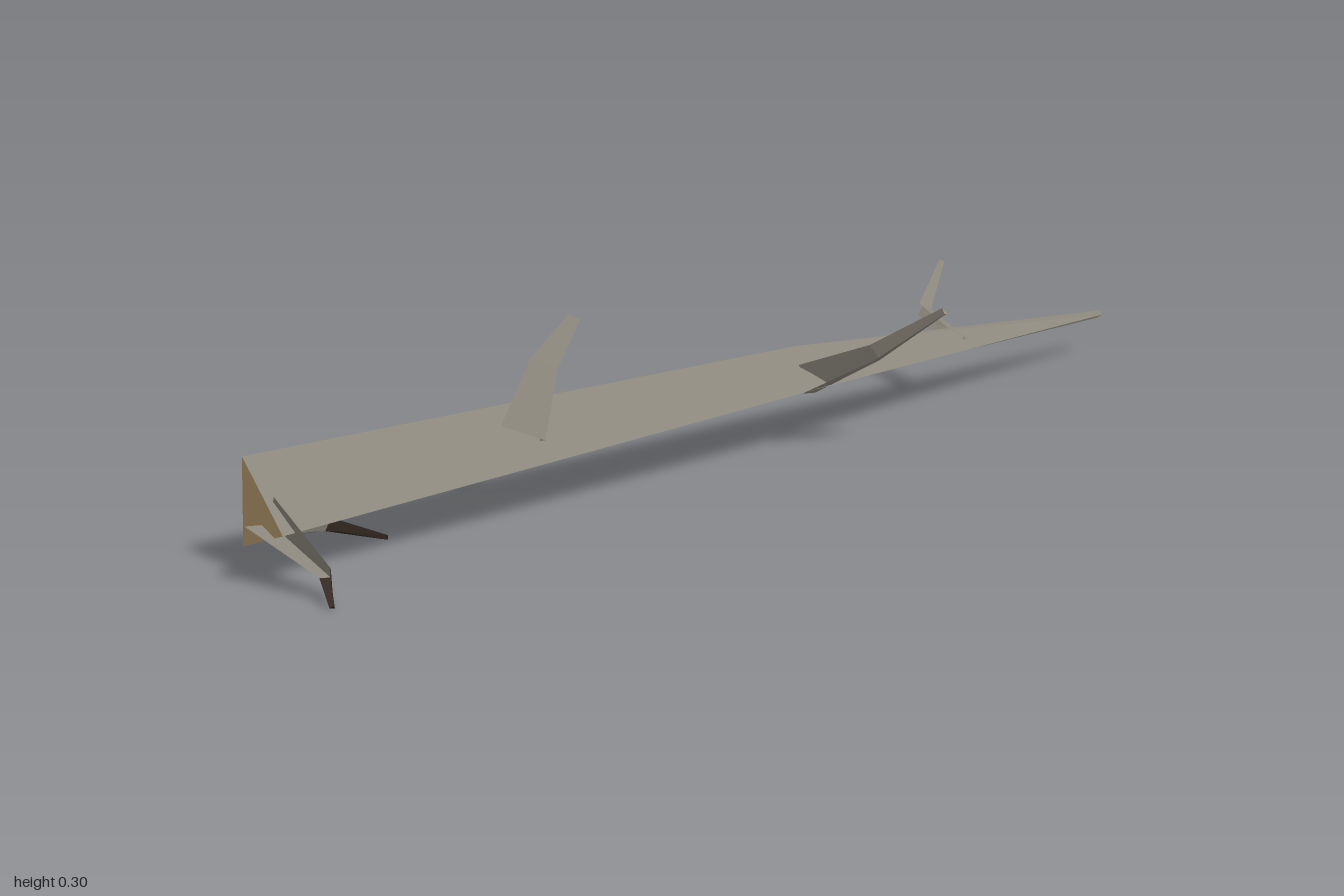
import * as THREE from 'three';

function material(name, color) {
  const m = new THREE.MeshStandardMaterial({ color, side: THREE.DoubleSide });
  m.name = name;
  return m;
}
const bark = material('bark', 0x8b867b);
const cutWood = material('cutWood', 0xb5986c);
const darkBark = material('darkBark', 0x352a23);

// Skins triangular rings on two sides, leaving the side from corner 0 to 1 open.
// Groups: bark along the length, the last segment, the cut ends.
function loft(name, rings, cutStart, tipBark, tipEnd) {
  const points = [];
  const geometry = new THREE.BufferGeometry();
  const addGroup = (index, corners) => {
    geometry.addGroup(points.length, corners.length, index);
    points.push(...corners);
  };
  for (let r = 0; r < rings.length - 1; r++) {
    const a = rings[r], b = rings[r + 1];
    const quads = [[1, 2], [2, 0]].flatMap(([i, j]) => [a[i], a[j], b[j], a[i], b[j], b[i]]);
    addGroup(r === rings.length - 2 ? 1 : 0, quads);
  }
  const first = rings[0];
  if (cutStart) addGroup(2, [first[0], first[2], first[1]]);
  addGroup(2, rings[rings.length - 1]);
  geometry.setFromPoints(points);
  geometry.computeVertexNormals();
  const mesh = new THREE.Mesh(geometry, [bark, tipBark, tipEnd]);
  mesh.name = name;
  return mesh;
}

// Bent branch: axis points, a radius at each, and the angle of its first corner in degrees.
function branch(name, path, radii, roll, tipBark = bark, tipEnd = cutWood) {
  const pts = path.map((p) => new THREE.Vector3(...p));
  const rings = pts.map((p, k) => {
    const prev = pts[Math.max(k - 1, 0)], next = pts[Math.min(k + 1, pts.length - 1)];
    const dir = next.clone().sub(prev).normalize();
    const side = new THREE.Vector3(0, 1, 0).cross(dir).normalize();
    const up = dir.clone().cross(side);
    return [0, 1, 2].map((i) => {
      const t = THREE.MathUtils.degToRad(roll + i * 120);
      return p.clone()
        .addScaledVector(side, Math.cos(t) * radii[k])
        .addScaledVector(up, Math.sin(t) * radii[k]);
    });
  });
  return loft(name, rings, false, tipBark, tipEnd);
}

export function createModel() {
  const group = new THREE.Group();
  group.name = 'fallenLog';

  // Trunk: x, then (y, z) of the front, bottom and top ridges
  const trunkRings = [
    [-0.965, [0.086, 0.072], [0.035, -0.055], [0.185, -0.043]],
    [0.15, [0.11, 0.045], [0.08, -0.04], [0.17, -0.034]],
    [0.998, [0.084, -0.062], [0.075, -0.075], [0.092, -0.067]],
  ].map(([x, ...c]) => c.map(([y, z]) => new THREE.Vector3(x, y, z)));
  group.add(loft('trunk', trunkRings, true, bark, cutWood));

  // Branches
  group.add(
    branch('upperBranch',
      [[-0.475, 0.13, 0.002], [-0.4, 0.23, -0.036], [-0.325, 0.297, -0.05]],
      [0.044, 0.028, 0.013], -60),
    branch('frontBranch',
      [[0.13, 0.115, 0.02], [0.2, 0.178, 0.125], [0.28, 0.262, 0.217]],
      [0.036, 0.02, 0.008], 75),
    branch('backBranch',
      [[0.55, 0.115, -0.03], [0.592, 0.142, -0.162], [0.697, 0.211, -0.221]],
      [0.026, 0.016, 0.006], -60),
    branch('baseRoot',
      [[-0.967, 0.105, 0.018], [-0.937, 0.04, 0.15], [-0.957, 0.006, 0.197]],
      [0.036, 0.013, 0.005], 75, darkBark, darkBark),
    branch('lowerBranch',
      [[-0.9, 0.075, 0], [-0.82, 0.041, -0.035], [-0.728, 0.006, -0.016]],
      [0.036, 0.014, 0.005], 75, darkBark, darkBark),
  );
  return group;
}
